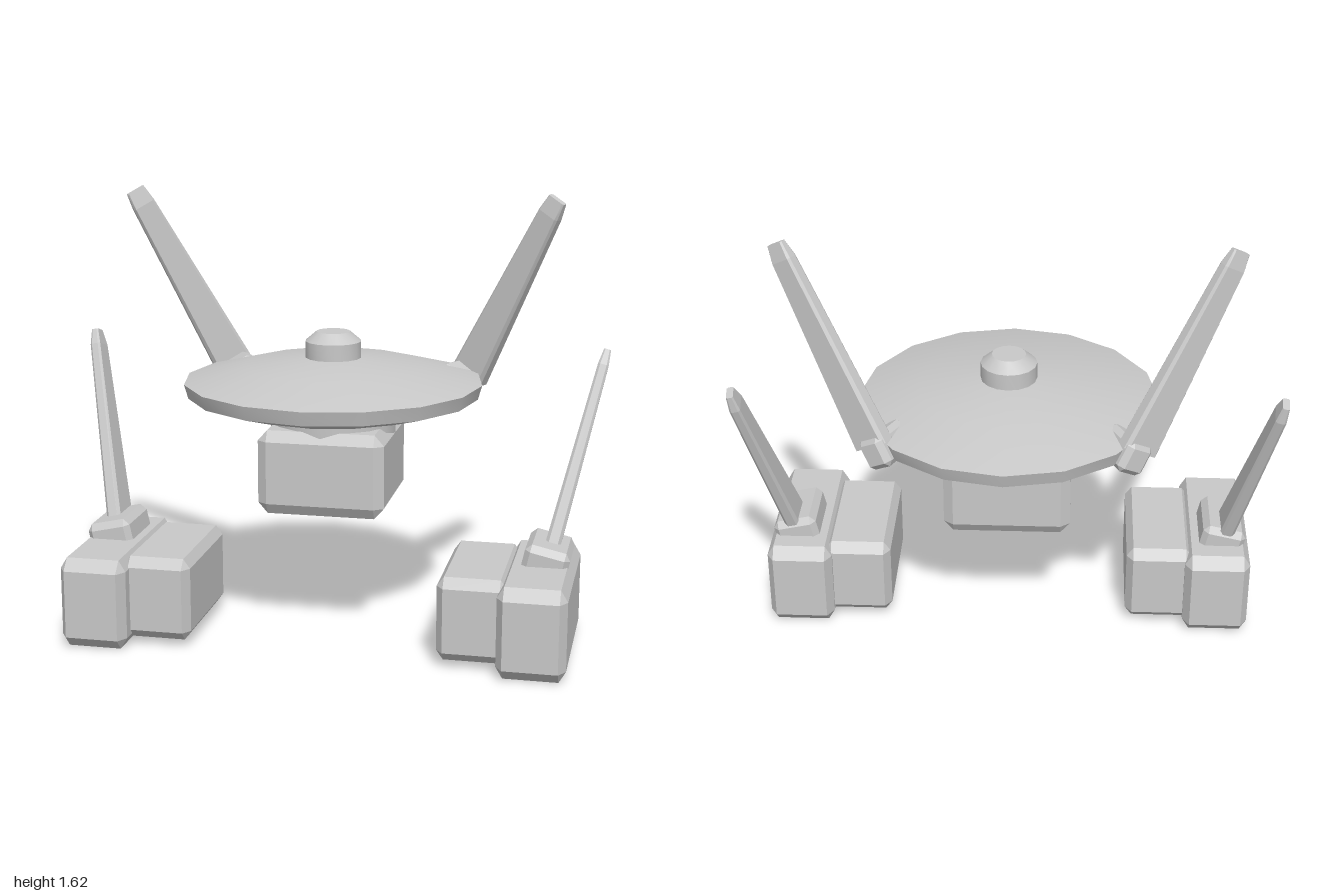
import * as THREE from 'three';
import { toCreasedNormals } from 'three/addons/utils/BufferGeometryUtils.js';
import { ConvexGeometry } from 'three/addons/geometries/ConvexGeometry.js';

const V = (x, y, z) => new THREE.Vector3(x, y, z);
const SIGNS = [-1, 1];

export function createModel() {
  const model = new THREE.Group();
  const grey = new THREE.MeshStandardMaterial({ color: 0xc8c8c8 });
  grey.name = 'pale grey';

  const add = (name, geometry) => {
    const mesh = new THREE.Mesh(geometry, grey);
    mesh.name = name;
    model.add(mesh);
  };

  // Convex solid from points, optionally mirrored to the other side
  const hull = (name, points, side = 1) =>
    add(name, new ConvexGeometry(points.map(p => V(p.x * side, p.y, p.z))));

  // Corner points of a chamfered box, placed on three axes
  const boxPoints = (center, size, cut, axes = [V(1, 0, 0), V(0, 1, 0), V(0, 0, 1)]) => {
    const points = [];
    for (const a of SIGNS) for (const b of SIGNS) for (const c of SIGNS) {
      for (let face = 0; face < 3; face++) {
        const p = center.clone();
        [a, b, c].forEach((s, i) =>
          p.addScaledVector(axes[i], s * (size[i] / 2 - (i === face ? 0 : cut[i]))));
        points.push(p);
      }
    }
    return points;
  };

  // Box given by its lower and upper limits
  const limits = (lo, hi, cut) => boxPoints(
    V(...lo.map((l, i) => (l + hi[i]) / 2)), lo.map((l, i) => hi[i] - l), cut);

  // Tapered blade: chamfered rectangular sections [t, width, thickness] along an axis
  const bladePoints = (from, to, wide, thin, sections) => {
    const points = [];
    for (const [t, w, d] of sections) {
      const c = from.clone().lerp(to, t);
      for (const a of SIGNS) for (const b of SIGNS) {
        for (const [u, v] of [[0.5, 0.3], [0.42, 0.5]]) {
          points.push(c.clone().addScaledVector(wide, a * w * u).addScaledVector(thin, b * d * v));
        }
      }
    }
    return points;
  };

  // Directions of a blade: along it, across its width, through its thickness
  const bladeFrame = (from, to, hint) => {
    const along = to.clone().sub(from).normalize();
    const wide = hint.clone().addScaledVector(along, -hint.dot(along)).normalize();
    const thin = new THREE.Vector3().crossVectors(wide, along).normalize();
    return { along, wide, thin };
  };

  const lathe = (name, profile) => {
    const points = profile.map(([r, y]) => new THREE.Vector2(r, y));
    add(name, toCreasedNormals(new THREE.LatheGeometry(points, 16), 0.5));
  };

  // Central dish, knob, neck and body
  lathe('dish', [[0, 0.84], [0.39, 0.845], [0.535, 0.888], [0.55, 0.94],
    [0.33, 0.997], [0.1, 1.025], [0, 1.03]]);
  lathe('knob', [[0, 1.0], [0.103, 1.0], [0.103, 1.085], [0.062, 1.12], [0, 1.12]]);
  lathe('neck', [[0, 0.73], [0.232, 0.73], [0.235, 0.85], [0, 0.85]]);
  hull('body', limits([-0.232, 0.48, -0.215], [0.232, 0.79, 0.245], [0.035, 0.04, 0.025]));

  for (const side of SIGNS) {
    // Side pods, each an outer and an inner block
    hull('outerPod', limits([0.67, 0, -0.15], [0.915, 0.335, 0.485], [0.025, 0.042, 0.04]), side);
    hull('innerPod', limits([0.45, 0.025, -0.1], [0.7, 0.332, 0.405], [0.025, 0.035, 0.035]), side);

    // Blade standing on the pod
    const podFrom = V(0.822, 0.36, 0.045), podTo = V(0.982, 1.05, -0.205);
    const pod = bladeFrame(podFrom, podTo, V(0, 0, 1));
    hull('podBlade', bladePoints(podFrom, podTo, pod.wide, pod.thin,
      [[0, 0.145, 0.056], [0.92, 0.086, 0.04], [1, 0.052, 0.026]]), side);

    // Tilted mount under the pod blade
    const tilt = 0.22;
    const mountAxes = [V(Math.cos(tilt), -Math.sin(tilt), 0),
      V(Math.sin(tilt), Math.cos(tilt), 0), V(0, 0, 1)];
    hull('podBladeMount', boxPoints(V(0.812, 0.345, 0.083), [0.165, 0.11, 0.248],
      [0.02, 0.025, 0.02], mountAxes), side);

    // Blade rising from the rear of the dish, in an upright plane
    const dishFrom = V(0.462, 0.915, -0.312), dishTo = V(0.791, 1.603, -0.139);
    const dish = bladeFrame(dishFrom, dishTo, V(0.885, 0, 0.465));
    hull('dishBlade', bladePoints(dishFrom, dishTo, dish.wide, dish.thin,
      [[0, 0.145, 0.066], [0.92, 0.086, 0.048], [1, 0.07, 0.026]]), side);

    // Clamp holding the blade to the dish rim
    hull('dishBladeClamp', boxPoints(V(0.422, 0.9, -0.288), [0.11, 0.12, 0.175],
      [0.02, 0.02, 0.02], [dish.wide, dish.along, dish.thin]), side);
  }
  return model;
}
